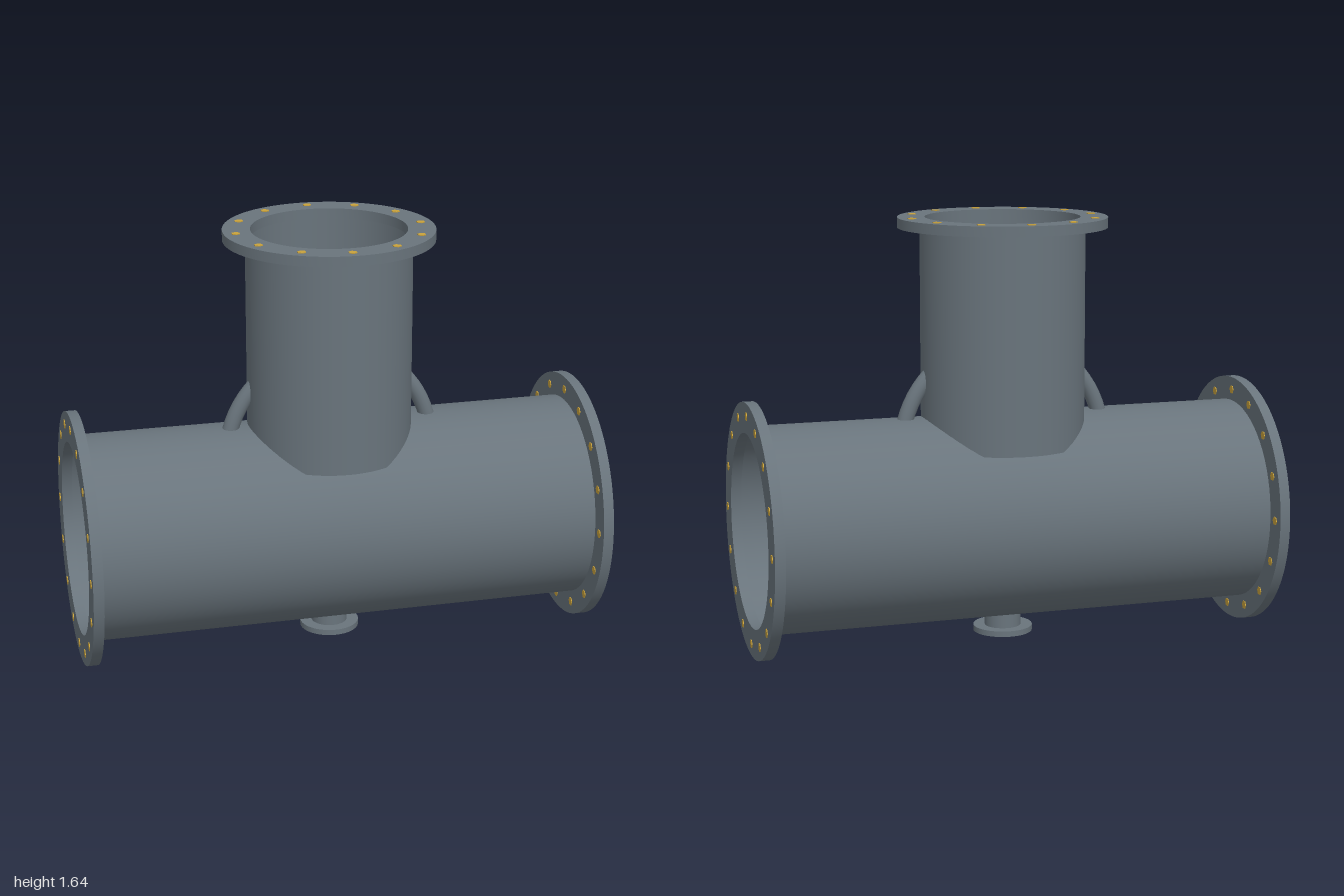
import * as THREE from 'three';
import { toCreasedNormals } from 'three/addons/utils/BufferGeometryUtils.js';

const steel = new THREE.MeshStandardMaterial({ color: 0x69747c, side: THREE.DoubleSide });
steel.name = 'grey steel';
const brass = new THREE.MeshStandardMaterial({ color: 0xc9a23c });
brass.name = 'brass';
const white = new THREE.MeshStandardMaterial({ color: 0xfafafa, side: THREE.DoubleSide });
white.name = 'white';

function mesh(name, geometry, material = steel) {
  const m = new THREE.Mesh(geometry, material);
  m.name = name;
  return m;
}

// open pipe wall standing on y, from y0 to y1
function pipe(name, radius, y0, y1) {
  const g = new THREE.CylinderGeometry(radius, radius, y1 - y0, 64, 1, true);
  return mesh(name, g.translate(0, (y0 + y1) / 2, 0));
}

// flat ring with a bolt circle, lying on y = 0 and rising to y = thickness
function flange(name, outer, inner, thickness, bolts = 0, boltCircle = 0) {
  const group = new THREE.Group();
  group.name = name;
  const shape = new THREE.Shape().absarc(0, 0, outer, 0, Math.PI * 2);
  shape.holes.push(new THREE.Path().absarc(0, 0, inner, 0, Math.PI * 2, true));
  const g = new THREE.ExtrudeGeometry(shape, { depth: thickness, bevelEnabled: false, curveSegments: 64 });
  g.rotateX(-Math.PI / 2);
  group.add(mesh(name + 'Ring', toCreasedNormals(g, 0.6)));

  // hexagonal bolts standing slightly proud on both faces
  const hex = toCreasedNormals(new THREE.CylinderGeometry(0.017, 0.017, thickness + 0.006, 6), 0.3);
  for (let i = 0; i < bolts; i++) {
    const a = (i / bolts) * Math.PI * 2;
    const bolt = mesh(name + 'Bolt', hex, brass);
    bolt.position.set(Math.cos(a) * boltCircle, thickness / 2, Math.sin(a) * boltCircle);
    group.add(bolt);
  }
  return group;
}

export function createModel() {
  const model = new THREE.Group();
  model.name = 'pipeTee';
  const axisY = 0.49;

  // main horizontal pipe with a flange at each end
  const mainPipe = pipe('mainPipe', 0.395, -0.97, 0.97);
  mainPipe.rotation.z = -Math.PI / 2;
  mainPipe.position.y = axisY;
  model.add(mainPipe);
  for (const side of [1, -1]) {
    const end = flange(side > 0 ? 'leftFlange' : 'rightFlange', 0.487, 0.37, 0.04, 16, 0.438);
    end.rotation.z = -side * Math.PI / 2;
    end.position.set(side * 0.957, axisY, 0);
    model.add(end);
  }

  // vertical branch and its flange
  model.add(pipe('branchPipe', 0.315, 0.775, 1.61));
  const top = flange('topFlange', 0.4, 0.295, 0.039, 12, 0.355);
  top.position.y = 1.605;
  model.add(top);

  // pale seal across the branch, just above the main pipe
  const seal = mesh('branchSeal', new THREE.CircleGeometry(0.313, 64).rotateX(-Math.PI / 2), white);
  seal.position.y = 0.89;
  model.add(seal);

  // lifting ring passing through the branch
  const ring = mesh('liftingRing', new THREE.TorusGeometry(0.403, 0.031, 16, 72));
  ring.position.y = 0.769;
  model.add(ring);

  // drain stub underneath
  model.add(pipe('drainPipe', 0.07, 0.03, 0.165));
  const drain = flange('drainFlange', 0.115, 0.055, 0.022);
  drain.position.y = 0.023;
  model.add(drain);

  return model;
}
